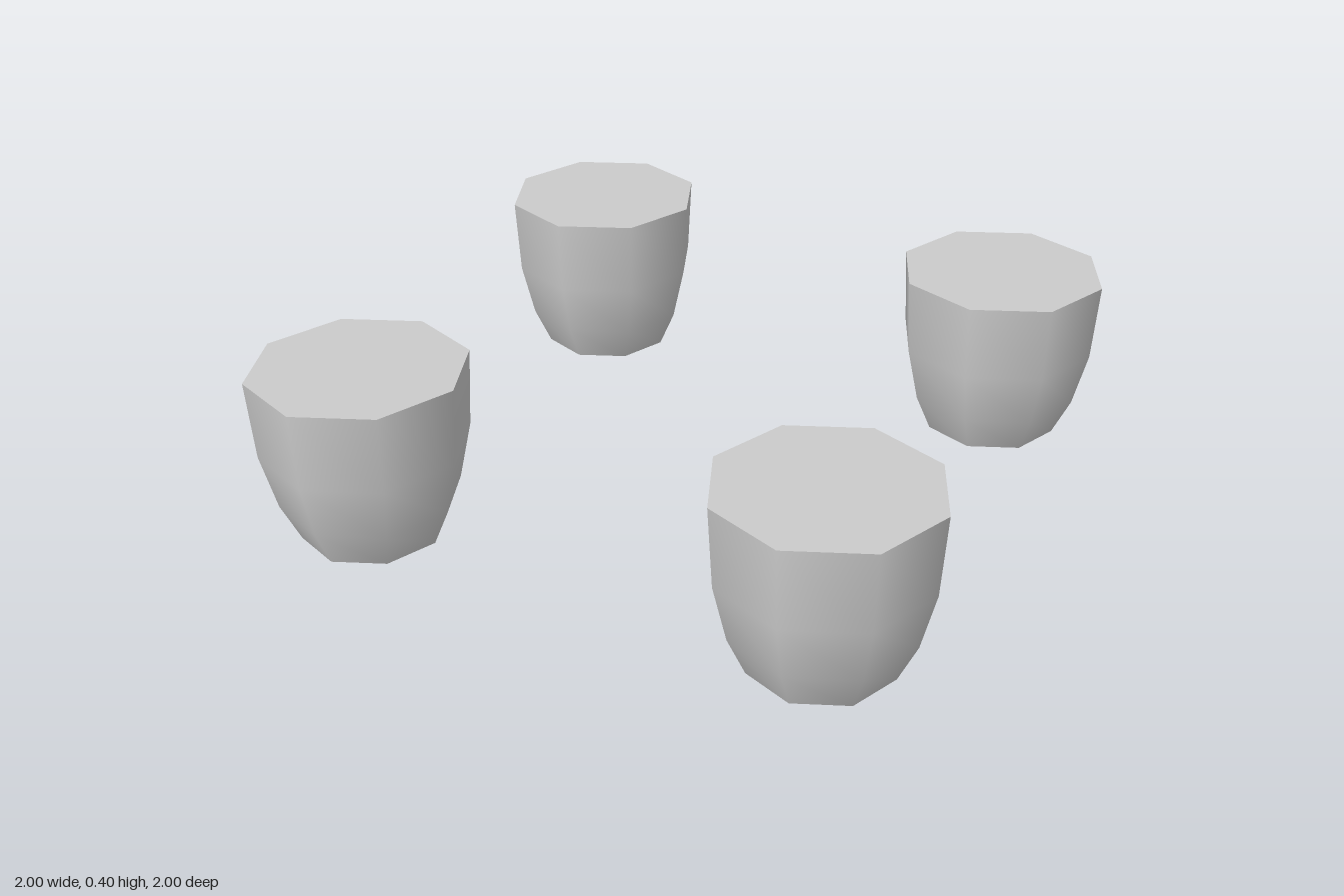
import * as THREE from 'three';

const SIDES = 8;
const HEIGHT = 0.4;
const OFFSET = 0.76;
// Foot profile as [radius, height], from floor to top
const PROFILE = [[0.16, 0], [0.2, 0.09], [0.23, 0.22], [0.24, HEIGHT]];

export function createModel() {
  const model = new THREE.Group();
  model.name = 'feet';
  const material = new THREE.MeshStandardMaterial({ color: 0xcccccc });

  const sideGeometry = new THREE.LatheGeometry(PROFILE.map(([r, y]) => new THREE.Vector2(r, y)), SIDES);
  const topGeometry = new THREE.CircleGeometry(0.24, SIDES).rotateX(-Math.PI / 2).translate(0, HEIGHT, 0);
  const bottomGeometry = new THREE.CircleGeometry(0.16, SIDES).rotateX(Math.PI / 2);

  function addFoot(name, x, z) {
    const foot = new THREE.Group();
    foot.name = name;
    const parts = { side: sideGeometry, top: topGeometry, bottom: bottomGeometry };
    for (const [part, geometry] of Object.entries(parts)) {
      const mesh = new THREE.Mesh(geometry, material);
      mesh.name = part;
      foot.add(mesh);
    }
    foot.position.set(x, 0, z);
    model.add(foot);
  }

  // Four feet in a cross
  addFoot('leftFoot', OFFSET, 0);
  addFoot('rightFoot', -OFFSET, 0);
  addFoot('frontFoot', 0, OFFSET);
  addFoot('backFoot', 0, -OFFSET);
  return model;
}
